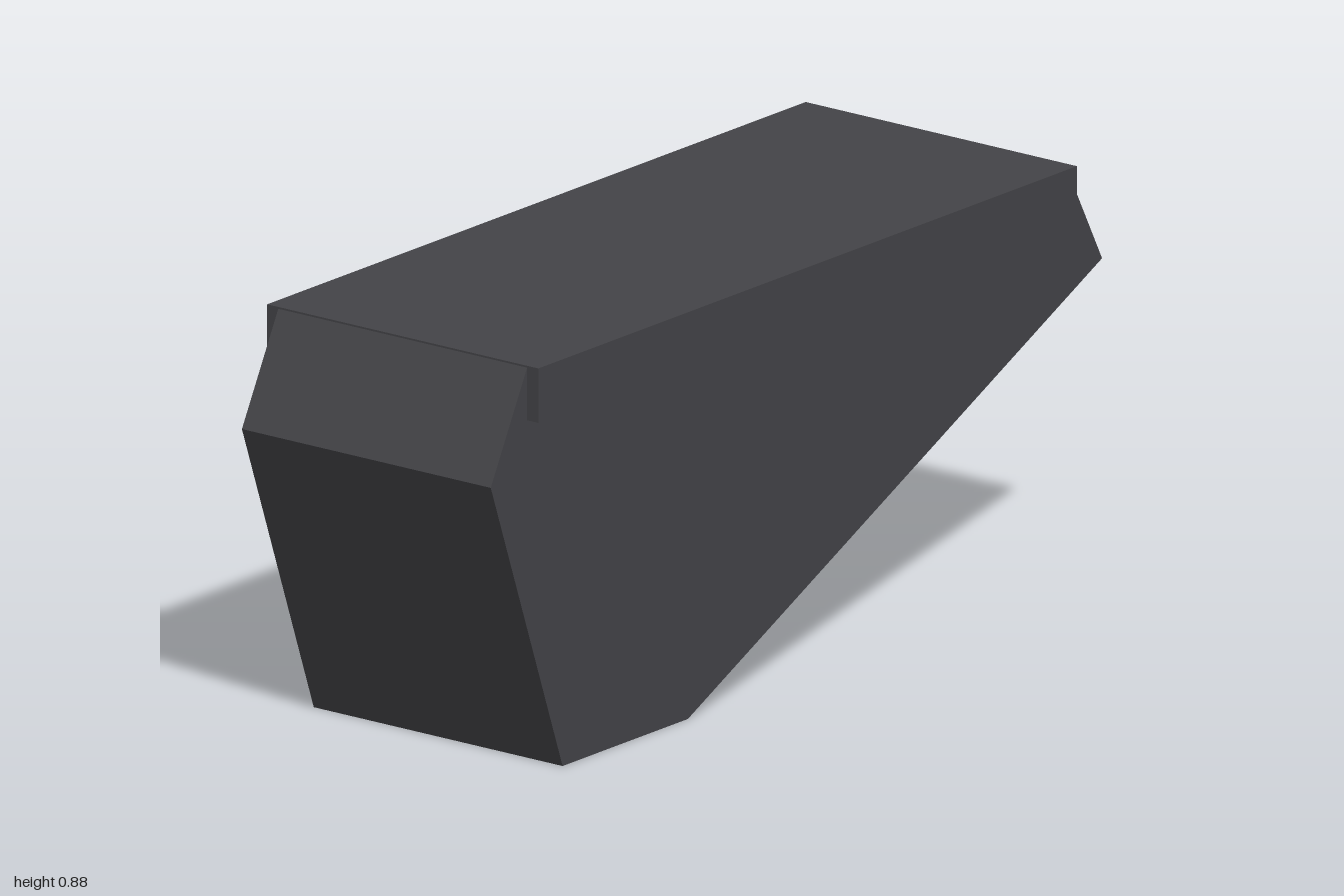
import * as THREE from 'three';

export function createModel() {
  const model = new THREE.Group();
  const charcoal = new THREE.MeshStandardMaterial({ color: 0x444448 });
  charcoal.name = 'charcoal';

  // Wedge-shaped hopper: side profile as (z, y), extruded across the width
  const width = 0.646;
  const profile = [[0.765, 0], [1, 0.65], [0.88, 0.879], [-0.88, 0.879], [-1, 0.65], [0.355, 0]];
  const shape = new THREE.Shape(profile.map(([z, y]) => new THREE.Vector2(z, y)));
  const bodyGeometry = new THREE.ExtrudeGeometry(shape, { depth: width, bevelEnabled: false });
  bodyGeometry.translate(0, 0, -width / 2).rotateY(-Math.PI / 2);
  const body = new THREE.Mesh(bodyGeometry, charcoal);
  body.name = 'body';
  model.add(body);

  // Top slab that overhangs both long sides as a rim
  const rim = new THREE.Mesh(new THREE.BoxGeometry(0.704, 0.116, 1.762), charcoal);
  rim.name = 'topRim';
  rim.position.y = 0.823;
  model.add(rim);

  return model;
}
